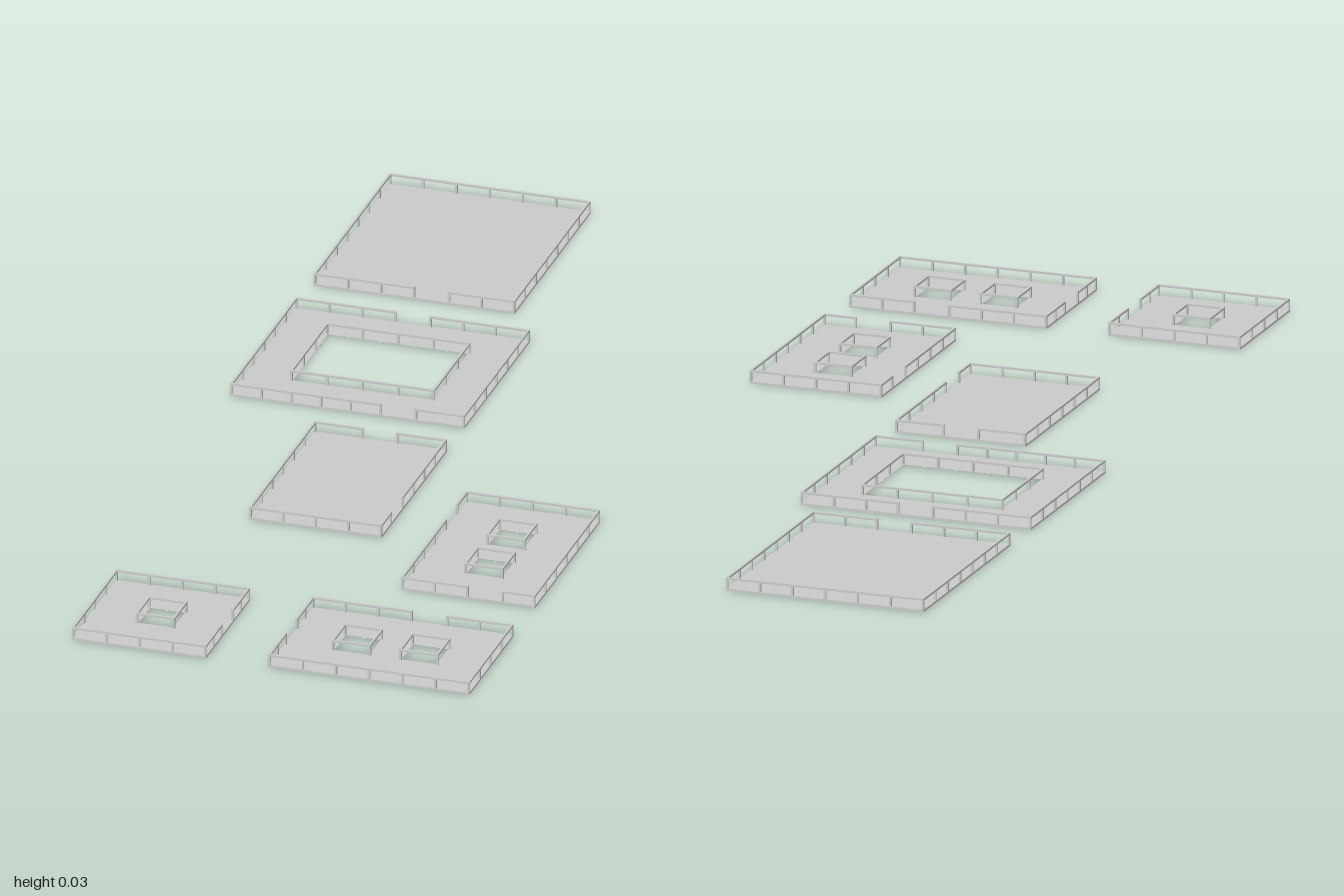
import * as THREE from 'three';
import { mergeGeometries } from 'three/addons/utils/BufferGeometryUtils.js';

const TILE = 0.0637, BAR = 0.004, FLOOR = 0.004, TOP = 0.025;
const material = new THREE.MeshStandardMaterial({ color: 0xcccccc, flatShading: true });

// Platforms as [x0, x1, z0, z1]; gaps are openings in the railing of a side
const platforms = [
  { name: 'backPlatform', rect: [-0.4, -0.018, -1, -0.555], gaps: { front: [-0.208, -0.145] } },
  { name: 'courtyardPlatform', rect: [-0.4, 0.045, -0.45, -0.067], holes: [[-0.31, -0.044, -0.361, -0.157]],
    gaps: { back: [-0.208, -0.145], front: [-0.113, -0.05] } },
  { name: 'middlePlatform', rect: [-0.207, 0.045, 0.036, 0.418],
    gaps: { back: [-0.113, -0.05], left: [0.293, 0.357] } },
  { name: 'sidePlatform', rect: [0.145, 0.4, 0.233, 0.615],
    holes: [[0.24, 0.306, 0.327, 0.393], [0.24, 0.306, 0.454, 0.52]],
    gaps: { right: [0.293, 0.357], front: [0.273, 0.336] } },
  { name: 'frontLeftPlatform', rect: [0.018, 0.4, 0.742, 1],
    holes: [[0.112, 0.178, 0.836, 0.902], [0.24, 0.306, 0.836, 0.902]],
    gaps: { back: [0.209, 0.273], right: [0.84, 0.903] } },
  { name: 'frontRightPlatform', rect: [-0.355, -0.1, 0.742, 1], holes: [[-0.26, -0.194, 0.836, 0.902]],
    gaps: { left: [0.84, 0.903] } },
];

function box(x0, x1, y0, y1, z0, z1) {
  return new THREE.BoxGeometry(x1 - x0, y1 - y0, z1 - z0)
    .translate((x0 + x1) / 2, (y0 + y1) / 2, (z0 + z1) / 2);
}

// Box along x or z: from a to b, centred on c across
function bar(alongX, a, b, c, y0, y1) {
  const h = BAR / 2;
  return alongX ? box(a, b, y0, y1, c - h, c + h) : box(c - h, c + h, y0, y1, a, b);
}

// Remove the cut intervals from [a, b]
function subtract(a, b, cuts) {
  const spans = [];
  for (const [c0, c1] of [...cuts].sort((p, q) => p[0] - q[0])) {
    if (c0 > a) spans.push([a, c0]);
    a = Math.max(a, c1);
  }
  if (b > a) spans.push([a, b]);
  return spans;
}

// Top rail and evenly spaced posts on the four sides of a rectangle
function railing([x0, x1, z0, z1], gaps = {}) {
  const h = BAR / 2, parts = [];
  const sides = [['back', true, x0, x1, z0], ['front', true, x0, x1, z1],
    ['right', false, z0, z1, x0], ['left', false, z0, z1, x1]];
  for (const [side, alongX, start, end, c] of sides) {
    for (const [a, b] of subtract(start - h, end + h, gaps[side] ? [gaps[side]] : [])) {
      parts.push(bar(alongX, a, b, c, TOP - 0.004, TOP));
      const n = Math.max(1, Math.round((b - a) / TILE));
      for (let i = 0; i <= n; i++) {
        const p = a + h + (b - a - BAR) * i / n;
        parts.push(bar(alongX, p - h, p + h, c, FLOOR, TOP - 0.004));
      }
    }
  }
  return mergeGeometries(parts);
}

// Floor plate with square openings
function floorPlate([x0, x1, z0, z1], holes) {
  const corners = (a, b, c, d) => [[a, c], [b, c], [b, d], [a, d]].map(([x, z]) => new THREE.Vector2(x, -z));
  const shape = new THREE.Shape(corners(x0, x1, z0, z1));
  for (const h of holes) shape.holes.push(new THREE.Path(corners(...h)));
  return new THREE.ExtrudeGeometry(shape, { depth: FLOOR - 0.0015, bevelEnabled: false })
    .rotateX(-Math.PI / 2).translate(0, 0.0015, 0);
}

// Grid of joists under the floor, interrupted at the openings
function joists([x0, x1, z0, z1], holes) {
  const parts = [], h = BAR / 2;
  const run = (alongX, from, to, start, end) => {
    const n = Math.round((to - from) / TILE);
    for (let i = 0; i <= n; i++) {
      const c = from + h + (to - from - BAR) * i / n;
      const cuts = holes.map(([a, b, d, e]) => (alongX ? [d, e, a, b] : [a, b, d, e]))
        .filter(r => c > r[0] - h && c < r[1] + h).map(r => [r[2], r[3]]);
      for (const [a, b] of subtract(start, end, cuts)) parts.push(bar(alongX, a, b, c, 0, 0.0015));
    }
  };
  run(true, z0, z1, x0, x1);
  run(false, x0, x1, z0, z1);
  return mergeGeometries(parts);
}

export function createModel() {
  const model = new THREE.Group();
  model.name = 'railedPlatforms';
  for (const { name, rect, holes = [], gaps } of platforms) {
    const group = new THREE.Group();
    group.name = name;
    const add = (partName, geometry) => {
      const mesh = new THREE.Mesh(geometry, material);
      mesh.name = partName;
      group.add(mesh);
    };
    const inset = ([a, b, c, d], s) => [a + s, b - s, c + s, d - s];
    add('floor', floorPlate(rect, holes));
    add('floorJoists', joists(rect, holes));
    add('outerRailing', railing(inset(rect, BAR / 2), gaps));
    for (const hole of holes) add('openingRailing', railing(inset(hole, -BAR / 2)));
    model.add(group);
  }
  return model;
}
